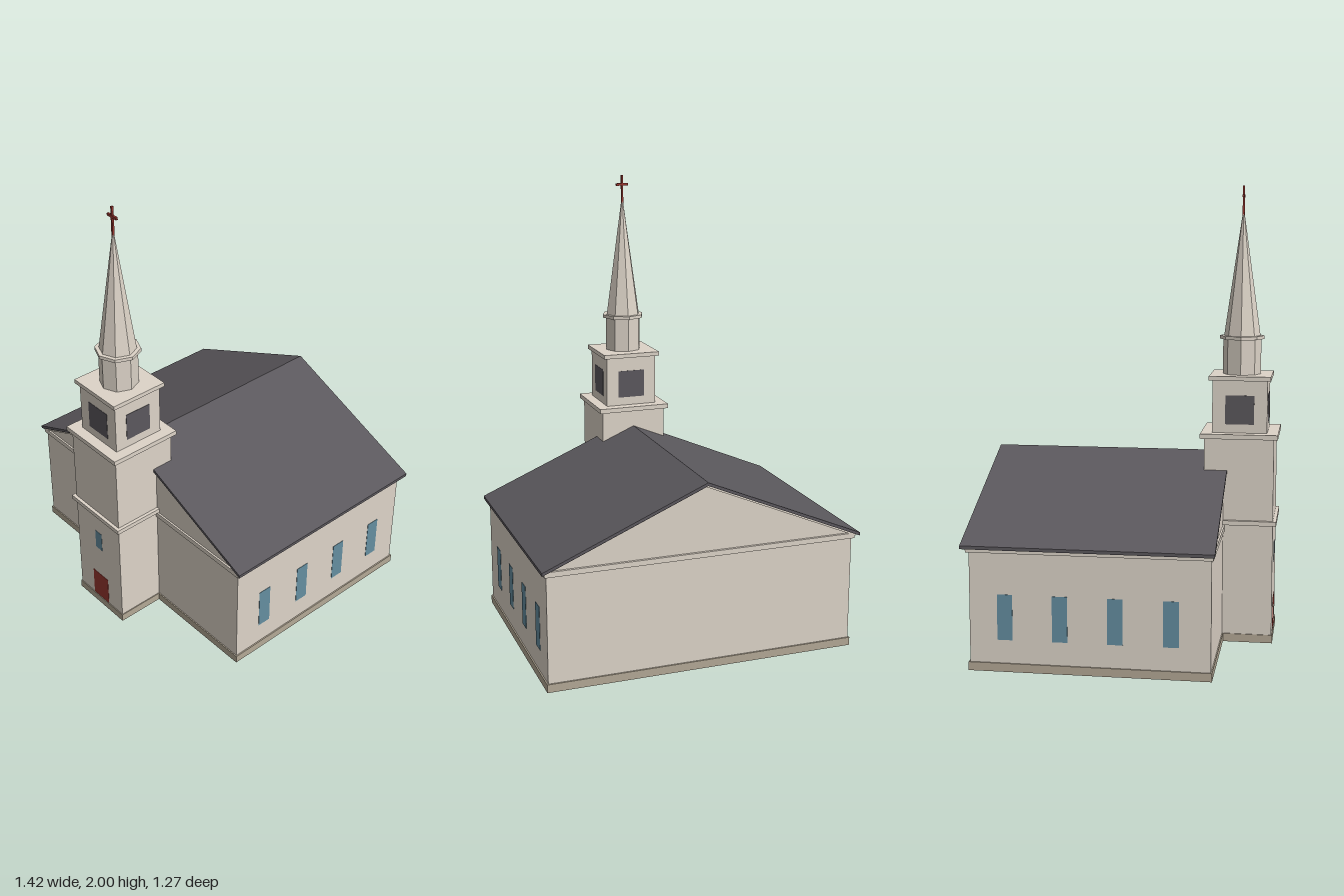
import * as THREE from 'three';

const mat = (name, color) => new THREE.MeshStandardMaterial({ name, color });

export function createModel() {
  const wall = mat('wall', 0xddd4c8);
  const stone = mat('stone', 0xb4a996);
  const slate = mat('slate', 0x5b585d);
  const glass = mat('glass', 0x648ea0);
  const red = mat('red', 0x97372f);
  const model = new THREE.Group();
  model.name = 'church';

  const add = (parent, name, geometry, material) => {
    const mesh = new THREE.Mesh(geometry, material);
    mesh.name = name;
    parent.add(mesh);
    return mesh;
  };
  // Box given by its width, depth, bottom, top and centre
  const block = (parent, name, m, w, d, y0, y1, x = 0, z = 0) => {
    const b = add(parent, name, new THREE.BoxGeometry(w, y1 - y0, d), m);
    b.position.set(x, (y0 + y1) / 2, z);
    return b;
  };
  // Plinth hollow below: a raised floor with four thin boards around it
  const plinth = (parent, name, w, d, z = 0) => {
    const t = 0.005;
    const group = new THREE.Group();
    group.name = name;
    group.position.z = z;
    parent.add(group);
    block(group, 'floor', stone, w, d, 0.03, 0.036);
    for (const s of [-1, 1]) {
      block(group, 'sideBoard', stone, t, d, 0, 0.03, s * (w - t) / 2);
      block(group, 'endBoard', stone, w - 2 * t, t, 0, 0.03, 0, s * (d - t) / 2);
    }
  };
  // Outline in x and y, extruded from z0 to z1
  const prism = (parent, name, m, points, z0, z1) => {
    const shape = new THREE.Shape(points.map(([x, y]) => new THREE.Vector2(x, y)));
    const geo = new THREE.ExtrudeGeometry(shape, { depth: z1 - z0, bevelEnabled: false });
    return add(parent, name, geo.translate(0, 0, z0), m);
  };
  const slope = 0.425;
  // Bent band following both roof slopes
  const gableBand = (parent, name, m, half, apex, thick, z0, z1) => {
    const eave = apex - slope * half;
    prism(parent, name, m, [[-half, eave - thick], [0, apex - thick], [half, eave - thick],
      [half, eave], [0, apex], [-half, eave]], z0, z1);
  };

  // Main hall
  const hall = new THREE.Group();
  hall.name = 'hall';
  model.add(hall);
  plinth(hall, 'hallPlinth', 1.382, 1.014, -0.102);
  block(hall, 'hallWalls', wall, 1.37, 1.002, 0.035, 0.505, 0, -0.101);
  block(hall, 'hallCornice', wall, 1.39, 1.022, 0.503, 0.526, 0, -0.103);
  prism(hall, 'gables', wall, [[-0.685, 0.525], [0.685, 0.525], [0, 0.816]], -0.602, 0.4);
  gableBand(hall, 'rakeTrim', wall, 0.7, 0.822, 0.012, -0.614, 0.408);
  gableBand(hall, 'roof', slate, 0.71, 0.835, 0.014, -0.634, 0.415);
  for (const side of [-1, 1]) {
    for (const z of [0.237, 0.007, -0.223, -0.453]) {
      block(hall, 'sideWindow', glass, 0.003, 0.064, 0.135, 0.328, side * 0.685, z);
    }
  }

  // Tower
  const tower = new THREE.Group();
  tower.name = 'tower';
  tower.position.z = 0.466;
  model.add(tower);
  plinth(tower, 'towerPlinth', 0.312, 0.312);
  block(tower, 'towerShaft', wall, 0.304, 0.304, 0.035, 0.912);
  block(tower, 'towerBand', wall, 0.334, 0.334, 0.53, 0.55);
  block(tower, 'towerCornice', wall, 0.338, 0.338, 0.911, 0.932);
  block(tower, 'belfry', wall, 0.24, 0.24, 0.93, 1.166);
  block(tower, 'belfryCap', wall, 0.27, 0.27, 1.162, 1.181);
  block(tower, 'door', red, 0.106, 0.003, 0.036, 0.176, 0, 0.152);
  block(tower, 'frontWindow', glass, 0.044, 0.003, 0.333, 0.428, 0, 0.152);
  for (let i = 0; i < 4; i++) {
    const side = new THREE.Group();
    side.name = 'belfryOpening';
    side.rotation.y = i * Math.PI / 2;
    tower.add(side);
    block(side, 'louvre', slate, 0.126, 0.003, 0.97, 1.097, 0, 0.12);
  }

  // Eight-sided lantern, collar and spire
  wall.flatShading = true;
  const octagon = (name, rTop, rBottom, y0, y1) => {
    const geo = new THREE.CylinderGeometry(rTop, rBottom, y1 - y0, 8);
    add(tower, name, geo, wall).position.y = (y0 + y1) / 2;
  };
  octagon('lantern', 0.084, 0.084, 1.18, 1.337);
  octagon('collar', 0.098, 0.098, 1.335, 1.35);
  octagon('spire', 0.003, 0.08, 1.35, 1.89);

  // Cross
  block(tower, 'crossPost', red, 0.009, 0.009, 1.87, 2.0);
  block(tower, 'crossArm', red, 0.058, 0.009, 1.951, 1.962);

  return model;
}
